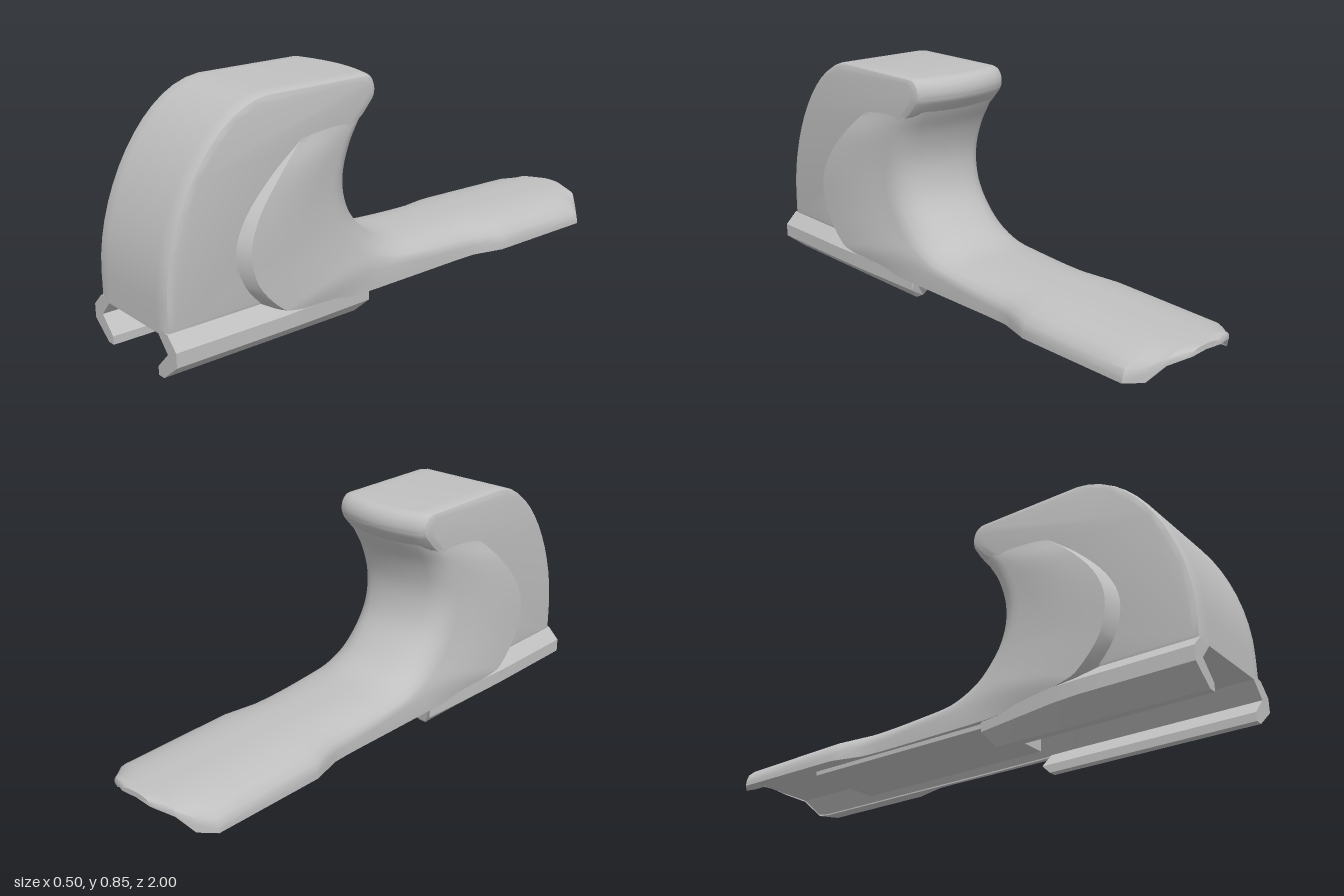
import * as THREE from 'three';
import { mergeVertices, toCreasedNormals } from 'three/addons/utils/BufferGeometryUtils.js';

const grey = new THREE.MeshStandardMaterial({ color: 0xc0c0c0 });
grey.name = 'grey';

function part(name, geometry, crease = 0.55) {
  const mesh = new THREE.Mesh(toCreasedNormals(geometry, crease), grey);
  mesh.name = name;
  return mesh;
}

// Rounded front block with the overhanging lip, drawn in (z, y)
function gripCore() {
  const s = new THREE.Shape();
  s.moveTo(1, 0.145);
  s.lineTo(1, 0.24);
  s.bezierCurveTo(1, 0.5, 0.82, 0.83, 0.6, 0.845);
  s.lineTo(0.17, 0.845);
  s.bezierCurveTo(0.125, 0.845, 0.105, 0.79, 0.13, 0.755);
  s.lineTo(0.17, 0.71);
  s.lineTo(0.29, 0.64);
  s.lineTo(0.33, 0.5);
  s.lineTo(0.31, 0.38);
  s.lineTo(0.3, 0.145);
  const b = 0.022, w = 0.206;
  const g = new THREE.ExtrudeGeometry(s, {
    depth: 2 * (w - b), steps: 10, bevelThickness: b, bevelSize: b, bevelOffset: -b, bevelSegments: 2, curveSegments: 14,
  });
  g.translate(0, 0, b - w);
  g.rotateY(-Math.PI / 2);
  // Bow the lip backwards in the middle
  const p = g.attributes.position;
  for (let i = 0; i < p.count; i++) {
    if (p.getZ(i) < 0.25 && p.getY(i) > 0.68) p.setZ(i, p.getZ(i) + 0.04 * (p.getX(i) / w) ** 2);
  }
  return g;
}

// Loft keys: back line z, y | side line z, y | side and back half widths | corner depth, corner width, groove
const KEYS = [
  [0.14, 0.765, 0.46, 0.69, 0.203, 0.198, 0.05, 0.05, 0],
  [0.17, 0.705, 0.5, 0.66, 0.21, 0.205, 0.05, 0.06, 0.005],
  [0.213, 0.63, 0.6, 0.58, 0.23, 0.207, 0.06, 0.06, 0.02],
  [0.24, 0.54, 0.7, 0.47, 0.243, 0.208, 0.07, 0.07, 0.03],
  [0.24, 0.46, 0.745, 0.36, 0.249, 0.209, 0.08, 0.08, 0.035],
  [0.216, 0.38, 0.718, 0.24, 0.249, 0.21, 0.08, 0.09, 0.03],
  [0.165, 0.31, 0.63, 0.14, 0.249, 0.211, 0.08, 0.1, 0.025],
  [0.09, 0.245, 0.54, 0.115, 0.246, 0.212, 0.08, 0.12, 0.01],
  [0, 0.211, 0.3, 0.085, 0.223, 0.213, 0.07, 0.14, 0],
  [-0.12, 0.203, 0, 0.08, 0.216, 0.214, 0.06, 0.15, 0],
  [-0.32, 0.2, -0.32, 0.08, 0.216, 0.214, 0.06, 0.15, 0],
  [-0.44, 0.198, -0.44, 0.08, 0.249, 0.247, 0.07, 0.18, 0],
  [-0.88, 0.185, -0.88, 0.08, 0.249, 0.247, 0.07, 0.18, 0],
  [-0.93, 0.183, -0.93, 0.085, 0.2, 0.198, 0.05, 0.13, 0],
  [-0.97, 0.181, -0.97, 0.14, 0.153, 0.15, 0.02, 0.1, 0],
  [-1, 0.179, -1, 0.155, 0.07, 0.065, 0.01, 0.05, 0],
];

// Half of one cross-section, from the middle of the underside to the middle of the back
function halfSection([pz, py, qz, qy, W, e, rc, rx, groove]) {
  const ceil = Math.max(0.145, qy + 0.005), inner = Math.min(0.2, W - 0.005);
  const pts = [[0, ceil, qz], [Math.min(0.15, W * 0.9), ceil, qz], [inner, qy + 0.005, qz], [inner, qy, qz]];
  const d = Math.hypot(pz - qz, py - qy), arch = Math.min(0.04, d * 0.13);
  const add = (x, s) => pts.push([x, qy + (py - qy) * s / d, qz + (pz - qz) * s / d]);
  const addBack = (x, s) => add(x, s - arch * (x / e) ** 2);
  for (let i = 0; i < 5; i++) {
    const v = i / 5;
    add(W - (W - e) * v * v, groove + (d - rc - arch - groove) * v);
  }
  for (let i = 0; i <= 5; i++) {
    const a = i / 5 * Math.PI / 2;
    addBack(e - rx * (1 - Math.cos(a)), d - rc + rc * Math.sin(a));
  }
  addBack((e - rx) * 0.6, d);
  addBack((e - rx) * 0.3, d);
  addBack(0, d);
  return pts;
}

// Side swellings, hollow back and tail as one closed loft
function neckAndTail() {
  const curves = [0, 3, 6].map(k => new THREE.CatmullRomCurve3(
    KEYS.map(r => new THREE.Vector3(r[k], r[k + 1], r[k + 2])), false, 'catmullrom', 0.5));
  const rows = [], steps = 4, last = KEYS.length - 1;
  for (let i = 0; i <= last * steps; i++) {
    const k = Math.min(Math.floor(i / steps), last - 1), f = i / steps - k;
    // The tail beyond the neck is made of straight stretches
    const values = k >= 10
      ? KEYS[k].map((v, n) => v + (KEYS[k + 1][n] - v) * f)
      : curves.flatMap(c => c.getPoint(i / steps / last).toArray());
    const half = halfSection(values);
    const mirrored = half.slice(1, -1).reverse().map(([x, y, z]) => [-x, y, z]);
    rows.push([...half, ...mirrored]);
  }
  const n = rows[0].length, index = [];
  for (let i = 0; i < rows.length - 1; i++) {
    for (let j = 0; j < n; j++) {
      const a = i * n + j, b = i * n + (j + 1) % n;
      index.push(a, a + n, b + n, a, b + n, b);
    }
  }
  const end = (rows.length - 1) * n;
  for (let j = 1; j < n - 1; j++) index.push(end, end + j + 1, end + j, 0, j, j + 1);
  const g = new THREE.BufferGeometry();
  g.setAttribute('position', new THREE.Float32BufferAttribute(rows.flat(2), 3));
  g.setIndex(index);
  return mergeVertices(g, 1e-5);
}

// Hooked clamp rail along one side of the underside
function clampRail(side) {
  const outline = [[0.15, 0.145], [0.2, 0.09], [0.14, 0.03], [0.14, 0], [0.17, 0], [0.249, 0.062],
    [0.249, 0.112], [0.203, 0.157], [0.17, 0.16]];
  const s = new THREE.Shape(outline.map(([x, y]) => new THREE.Vector2(x * side, y)));
  const g = new THREE.ExtrudeGeometry(s, { depth: 0.8, steps: 8, bevelEnabled: false });
  g.translate(0, 0, 0.2);
  const p = g.attributes.position;
  for (let i = 0; i < p.count; i++) {
    const x = Math.abs(p.getX(i)), y = p.getY(i), z = p.getZ(i);
    // Outer wall narrows towards the neck, and the low edge rises less
    const t = THREE.MathUtils.clamp((0.55 - z) / 0.35, 0, 1);
    if (x > 0.24) p.setX(i, side * (0.249 - 0.036 * t));
    if (y > 0.05 && y < 0.07) p.setY(i, y - 0.016 * t);
    if (y > 0.15) p.setY(i, y - 0.02 * t);
    // Chamfered rear foot
    if (z < 0.25 && y < 0.01) p.setZ(i, 0.23);
  }
  return g;
}

export function createModel() {
  const group = new THREE.Group();
  group.name = 'railHandStop';
  group.add(part('gripCore', gripCore()));
  group.add(part('neckAndTail', neckAndTail()));
  for (const side of [1, -1]) {
    group.add(part(side > 0 ? 'leftClampRail' : 'rightClampRail', clampRail(side), 0.3));
  }
  // Long lug under the tail
  const lug = part('undersideLug', new THREE.BoxGeometry(0.3, 0.065, 0.8), 0.3);
  lug.position.set(0, 0.1225, -0.21);
  group.add(lug);
  return group;
}
